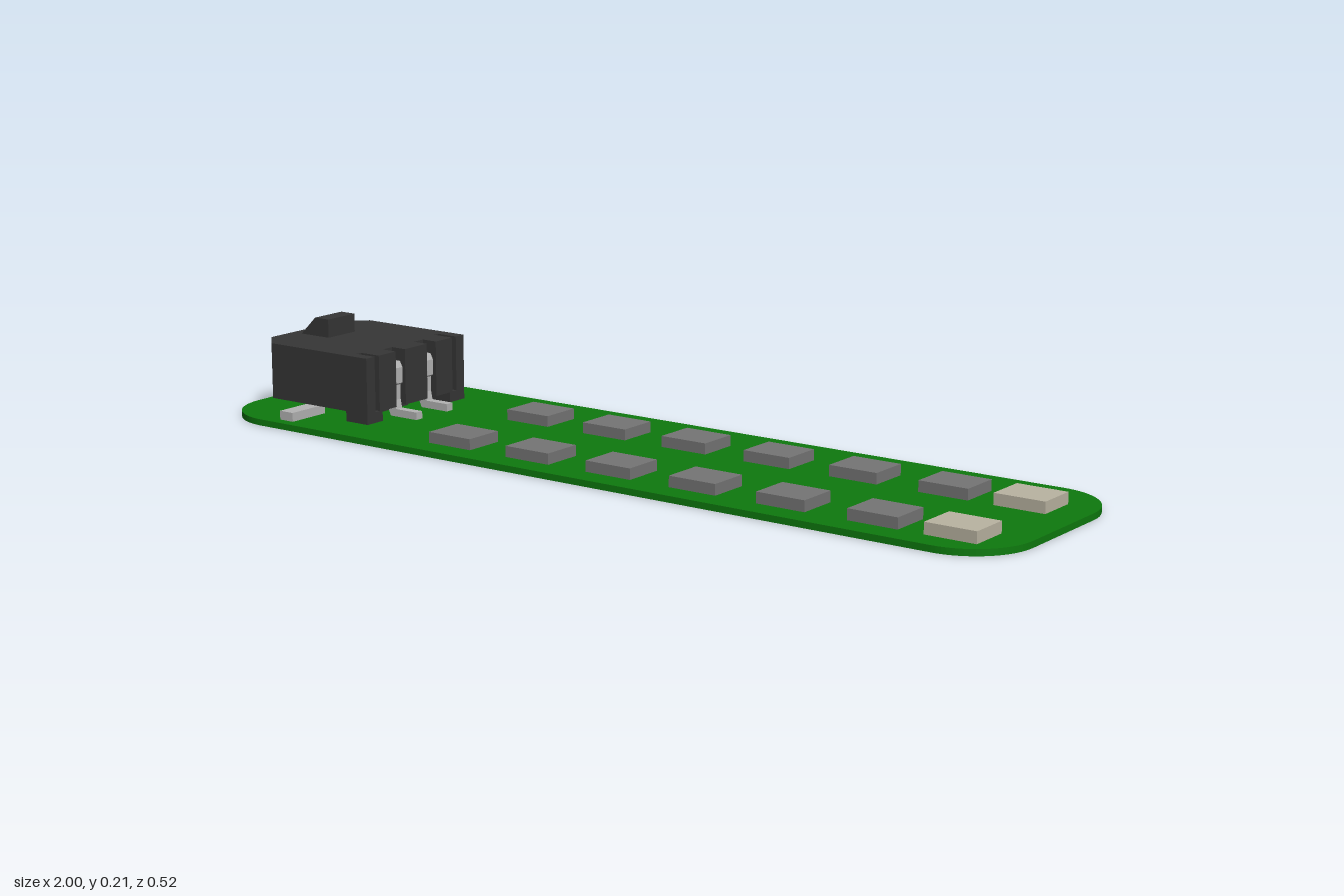
import * as THREE from 'three';

const mat = (color) => new THREE.MeshStandardMaterial({ color, flatShading: true });
const GREEN = mat(0x0e7a0e), DARK = mat(0x363636), METAL = mat(0xb4b4b4);
const CHIP = mat(0x757575), BEIGE = mat(0xbab4a2);

function add(parent, name, geometry, material) {
  const mesh = new THREE.Mesh(geometry, material);
  mesh.name = name;
  parent.add(mesh);
  return mesh;
}

// Box given by its limits on each axis
function box(parent, name, [x0, x1], [y0, y1], [z0, z1], material) {
  const g = new THREE.BoxGeometry(x1 - x0, y1 - y0, Math.abs(z1 - z0));
  g.translate((x0 + x1) / 2, (y0 + y1) / 2, (z0 + z1) / 2);
  return add(parent, name, g, material);
}

// Plan outline of points [x, z], raised from y0 to y1
function slab(parent, name, shape, y0, y1, material) {
  const g = new THREE.ExtrudeGeometry(shape, { depth: y1 - y0, bevelEnabled: false, curveSegments: 10 });
  g.rotateX(-Math.PI / 2).translate(0, y0, 0);
  return add(parent, name, g, material);
}

// Profile of points [x, y], extruded along z around a centre
function profile(parent, name, points, width, z, material) {
  const shape = new THREE.Shape(points.map(([x, y]) => new THREE.Vector2(x, y)));
  const g = new THREE.ExtrudeGeometry(shape, { depth: width, bevelEnabled: false });
  g.translate(0, 0, z - width / 2);
  return add(parent, name, g, material);
}

// Housing outline: chamfered mating end, slotted rear, optional sockets
function housingShape(sockets) {
  const half = [];
  if (sockets) half.push([-0.96, 0.015], [-0.72, 0.015], [-0.72, 0.1], [-0.96, 0.1]);
  half.push(
    [-0.96, 0.115], [-0.912, 0.165], [-0.627, 0.165],
    [-0.627, 0.138], [-0.68, 0.138], [-0.68, 0.124], [-0.627, 0.124],
    [-0.627, 0.068], [-0.665, 0.068], [-0.665, 0.037], [-0.627, 0.037]
  );
  const mirrored = half.map(([x, z]) => [x, -z]).reverse();
  return new THREE.Shape([...half, ...mirrored].map(([x, z]) => new THREE.Vector2(x, z)));
}

function boardShape(w, d, r) {
  const s = new THREE.Shape();
  s.absarc(w - r, d - r, r, 0, Math.PI / 2);
  s.absarc(r - w, d - r, r, Math.PI / 2, Math.PI);
  s.absarc(r - w, r - d, r, Math.PI, Math.PI * 1.5);
  s.absarc(w - r, r - d, r, Math.PI * 1.5, Math.PI * 2);
  s.closePath();
  return s;
}

function createConnector() {
  const c = new THREE.Group();
  c.name = 'connector';
  c.position.z = 0.003;

  // Housing: floor, socket layer, roof
  slab(c, 'housingFloor', housingShape(false), 0.039, 0.055, DARK);
  slab(c, 'housingWalls', housingShape(true), 0.055, 0.148, DARK);
  slab(c, 'housingRoof', housingShape(false), 0.148, 0.165, DARK);

  // Sloped latch on the roof
  profile(c, 'latch', [[-0.935, 0.163], [-0.85, 0.163], [-0.85, 0.207], [-0.89, 0.207]], 0.088, 0, DARK);

  for (const s of [1, -1]) {
    // Feet under the housing
    box(c, 'rail', [-0.905, -0.69], [0.015, 0.04], [s * 0.022, s * 0.042], DARK);
    box(c, 'cornerFoot', [-0.69, -0.627], [0.016, 0.04], [s * 0.115, s * 0.165], DARK);

    // Contact pin: upright and bent solder foot
    profile(c, 'pin', [
      [-0.665, 0.138], [-0.665, 0.05], [-0.65, 0.015], [-0.575, 0.015],
      [-0.575, 0.032], [-0.634, 0.032], [-0.638, 0.052], [-0.638, 0.085],
      [-0.631, 0.09], [-0.631, 0.125], [-0.638, 0.138]
    ], 0.02, s * 0.052, METAL);
    box(c, 'contactBlade', [-0.91, -0.71], [0.092, 0.11], [s * 0.042, s * 0.062], METAL);

    // Mounting tab and its clip in the rear slot
    box(c, 'mountingTab', [-0.825, -0.787], [0.014, 0.034], [s * 0.13, s * 0.234], METAL);
    box(c, 'clip', [-0.685, -0.672], [0.11, 0.143], [s * 0.125, s * 0.137], METAL);
  }
  return c;
}

export function createModel() {
  const model = new THREE.Group();
  model.name = 'circuitBoard';

  slab(model, 'board', boardShape(1, 0.262, 0.14), 0, 0.014, GREEN);
  model.add(createConnector());

  // Two rows of chips, each ending in a pale one
  for (const z of [0.159, -0.107]) {
    for (let i = 0; i < 6; i++) {
      const x = -0.36 + i * 0.2116;
      box(model, 'chip', [x - 0.057, x + 0.057], [0.014, 0.038], [z - 0.047, z + 0.047], CHIP);
    }
    box(model, 'paleChip', [0.812, 0.927], [0.014, 0.039], [z - 0.047, z + 0.047], BEIGE);
  }
  return model;
}
